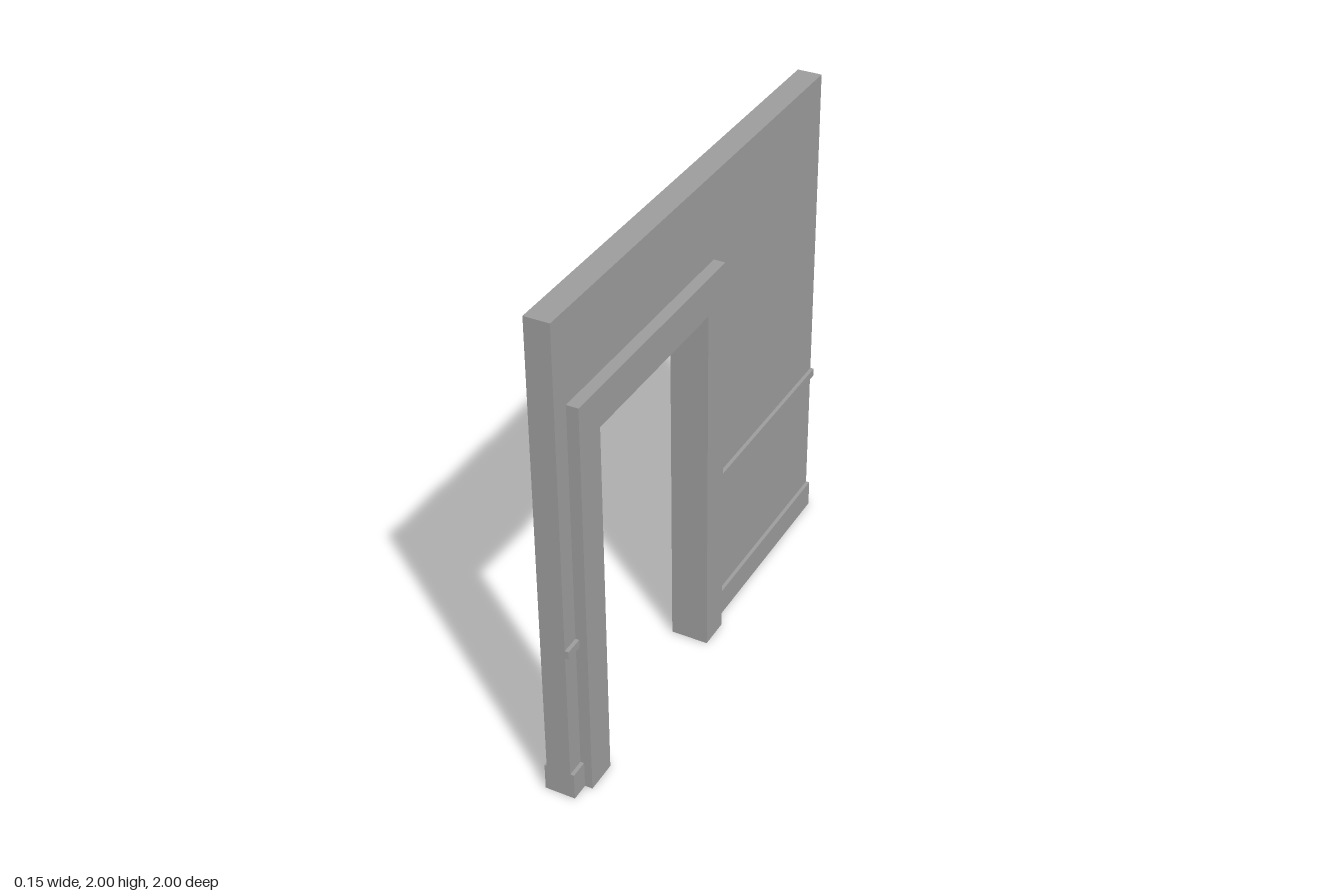
import * as THREE from 'three';

const material = new THREE.MeshStandardMaterial({ color: 0x9c9c9c, flatShading: true });

// Layers of the wall along x
const BACK = -0.068, FACE = 0.03, TRIM_BACK = -0.077, TRIM_FACE = 0.076, RAIL_FACE = 0.045;
// Doorway and its casing, along z
const DOOR = { z0: 0.02, z1: 0.795, top: 1.505 };
const CASING = { z0: -0.11, z1: 0.927, top: 1.657 };

export function createModel() {
  const model = new THREE.Group();
  model.name = 'doorwayWall';

  const add = (name, geometry) => {
    const mesh = new THREE.Mesh(geometry, material);
    mesh.name = name;
    model.add(mesh);
  };

  // Slab with a doorway cut out of its lower edge, spanning x0..x1
  const archSlab = (name, x0, x1, outer) => {
    const outline = [
      [outer.z0, 0], [outer.z0, outer.top], [outer.z1, outer.top], [outer.z1, 0],
      [DOOR.z1, 0], [DOOR.z1, DOOR.top], [DOOR.z0, DOOR.top], [DOOR.z0, 0],
    ];
    const shape = new THREE.Shape(outline.map(([z, y]) => new THREE.Vector2(-z, y)));
    const geometry = new THREE.ExtrudeGeometry(shape, { depth: x1 - x0, bevelEnabled: false });
    geometry.rotateY(Math.PI / 2).translate(x0, 0, 0);
    add(name, geometry);
  };

  // Straight moulding given by its extents
  const strip = (name, x0, x1, y0, y1, z0, z1) => {
    const geometry = new THREE.BoxGeometry(x1 - x0, y1 - y0, z1 - z0);
    geometry.translate((x0 + x1) / 2, (y0 + y1) / 2, (z0 + z1) / 2);
    add(name, geometry);
  };

  // Wall and the door casing on both faces
  archSlab('wall', BACK, FACE, { z0: -1, z1: 1, top: 2 });
  archSlab('doorCasing', FACE, TRIM_FACE, CASING);
  archSlab('backDoorCasing', TRIM_BACK, BACK, CASING);

  // Skirting and dado rail on either side of the casing
  for (const [side, z0, z1] of [['Long', -1, CASING.z0], ['Short', CASING.z1, 1]]) {
    strip('skirting' + side, FACE, RAIL_FACE, 0, 0.112, z0, z1);
    strip('backSkirting' + side, TRIM_BACK, BACK, 0, 0.112, z0, z1);
    strip('dadoRail' + side, FACE, RAIL_FACE, 0.656, 0.689, z0, z1);
  }

  return model;
}
